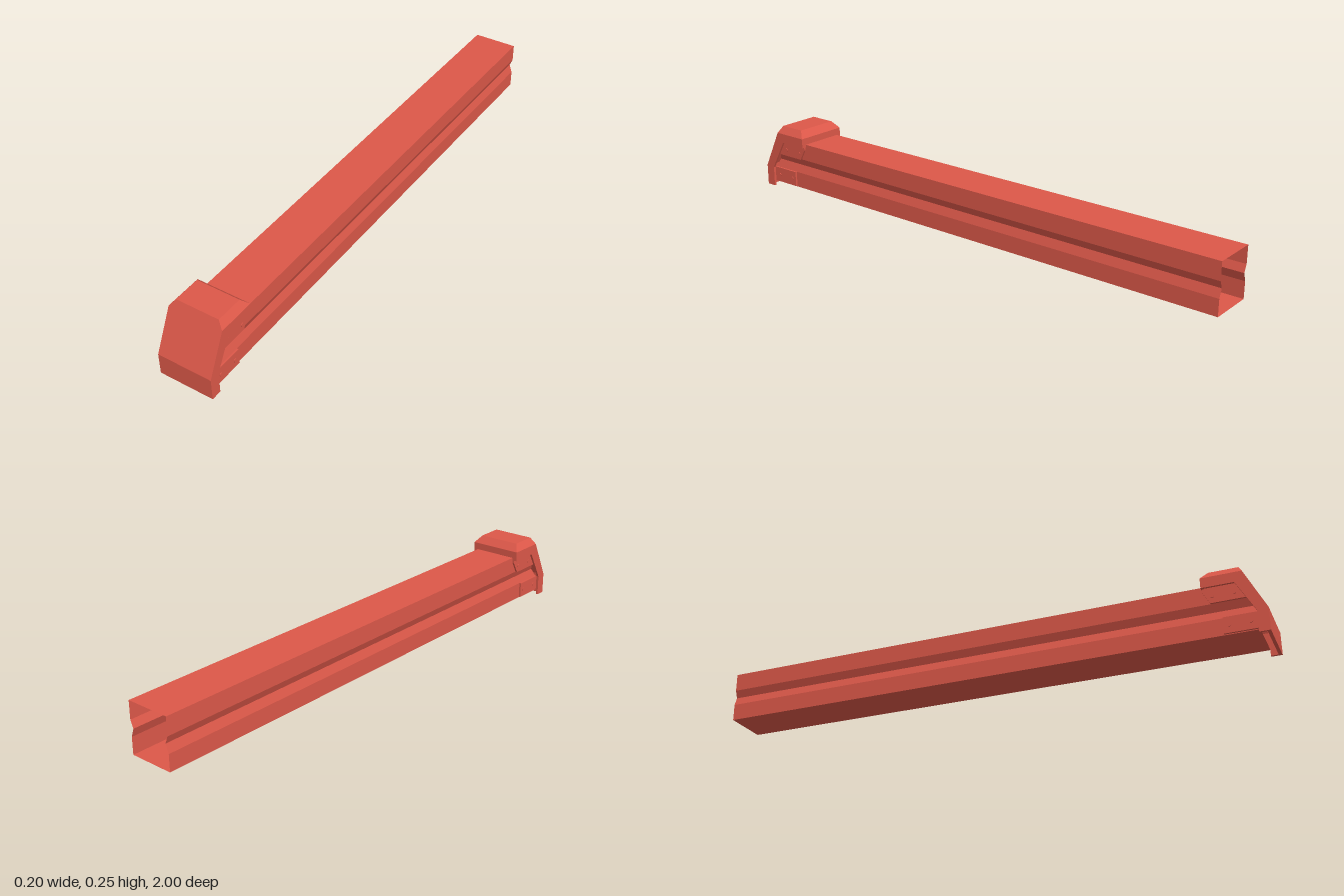
import * as THREE from 'three';

const red = new THREE.MeshStandardMaterial({ color: 0xdc5849, side: THREE.DoubleSide });
red.name = 'red paint';

// Flat-shaded surface from four-cornered faces
function quads(name, faces) {
  const pos = [];
  for (const [a, b, c, d] of faces) pos.push(...a, ...b, ...c, ...a, ...c, ...d);
  const g = new THREE.BufferGeometry();
  g.setAttribute('position', new THREE.Float32BufferAttribute(pos, 3));
  g.computeVertexNormals();
  const mesh = new THREE.Mesh(g, red);
  mesh.name = name;
  return mesh;
}

// Side-profile plate: points are [z, y], filling x0..x1
function plate(name, points, x0, x1) {
  const shape = new THREE.Shape(points.map(p => new THREE.Vector2(...p)));
  const g = new THREE.ExtrudeGeometry(shape, { depth: x1 - x0, bevelEnabled: false });
  g.rotateY(-Math.PI / 2);
  g.translate(x1, 0, 0);
  const mesh = new THREE.Mesh(g, red);
  mesh.name = name;
  return mesh;
}

// Hollow beam with a V groove along each side and a sloped front end
function makeBeam() {
  const half = [[0.083, 0.016], [0.083, 0.077], [0.072, 0.108], [0.083, 0.135], [0.083, 0.2]];
  const ring = [...half, ...half.map(([x, y]) => [-x, y]).reverse()];
  const frontZ = y => 0.965 - Math.max(0, y - 0.077) * 0.49;
  const faces = ring.map(([x, y], i) => {
    const [u, v] = ring[(i + 1) % ring.length];
    return [[x, y, frontZ(y)], [x, y, -1], [u, v, -1], [u, v, frontZ(v)]];
  });
  return quads('beam', faces);
}

// Hollow end cap: sloped nose, bevelled roof and side skirts
function makeCap() {
  const cap = new THREE.Group();
  cap.name = 'endCap';
  // Rectangular ring at one height: half width, back z, front z
  const ring = (y, w, back, front) => [[-w, y, front], [w, y, front], [w, y, back], [-w, y, back]];
  const roof = ring(0.252, 0.081, 0.815, 0.915);
  const eave = ring(0.226, 0.101, 0.79, 0.928);
  const faces = [roof];
  for (let i = 0; i < 4; i++) {
    const j = (i + 1) % 4;
    faces.push([eave[i], eave[j], roof[j], roof[i]]);
  }
  const nose = [[-0.101, 0.08, 1], [0.101, 0.08, 1]];
  faces.push([nose[0], nose[1], eave[1], eave[0]]);
  faces.push([[-0.101, 0, 1], [0.101, 0, 1], nose[1], nose[0]]);
  cap.add(quads('capShell', faces));

  const skirt = [[0.79, 0.19], [0.9, 0.19], [0.963, 0.077], [0.963, 0],
    [1, 0], [1, 0.08], [0.928, 0.226], [0.79, 0.226]];
  cap.add(plate('leftSkirt', skirt, 0.093, 0.101));
  cap.add(plate('rightSkirt', skirt, -0.101, -0.093));
  cap.add(plate('backPanel', [[0.79, 0.19], [0.798, 0.19], [0.798, 0.226], [0.79, 0.226]], -0.093, 0.093));
  // Thickness of the nose plate
  cap.add(plate('nosePlate', [[0.988, 0], [0.9995, 0], [0.9995, 0.08], [0.928, 0.225], [0.916, 0.225], [0.988, 0.08]], -0.093, 0.093));
  return cap;
}

// Mounting tabs with screws, on one side
function makeTabs(side) {
  const group = new THREE.Group();
  group.name = side > 0 ? 'leftTabs' : 'rightTabs';
  const [x0, x1] = side > 0 ? [0.082, 0.09] : [-0.09, -0.082];
  group.add(plate('upperTab', [[0.816, 0.135], [0.935, 0.135], [0.9, 0.195], [0.792, 0.195], [0.792, 0.178]], x0, x1));
  group.add(plate('lowerTab', [[0.85, 0.019], [0.965, 0.019], [0.965, 0.077], [0.85, 0.077]], x0, x1));
  for (const [z, y] of [[0.895, 0.16], [0.823, 0.16], [0.94, 0.048], [0.87, 0.048]]) {
    const screw = new THREE.Mesh(new THREE.CylinderGeometry(0.007, 0.007, 0.004, 8), red);
    screw.name = 'screw';
    screw.rotation.z = Math.PI / 2;
    screw.position.set(side * 0.0905, y, z);
    group.add(screw);
  }
  return group;
}

export function createModel() {
  const model = new THREE.Group();
  model.name = 'guardBeam';
  model.add(makeBeam(), makeCap(), makeTabs(1), makeTabs(-1));
  return model;
}
